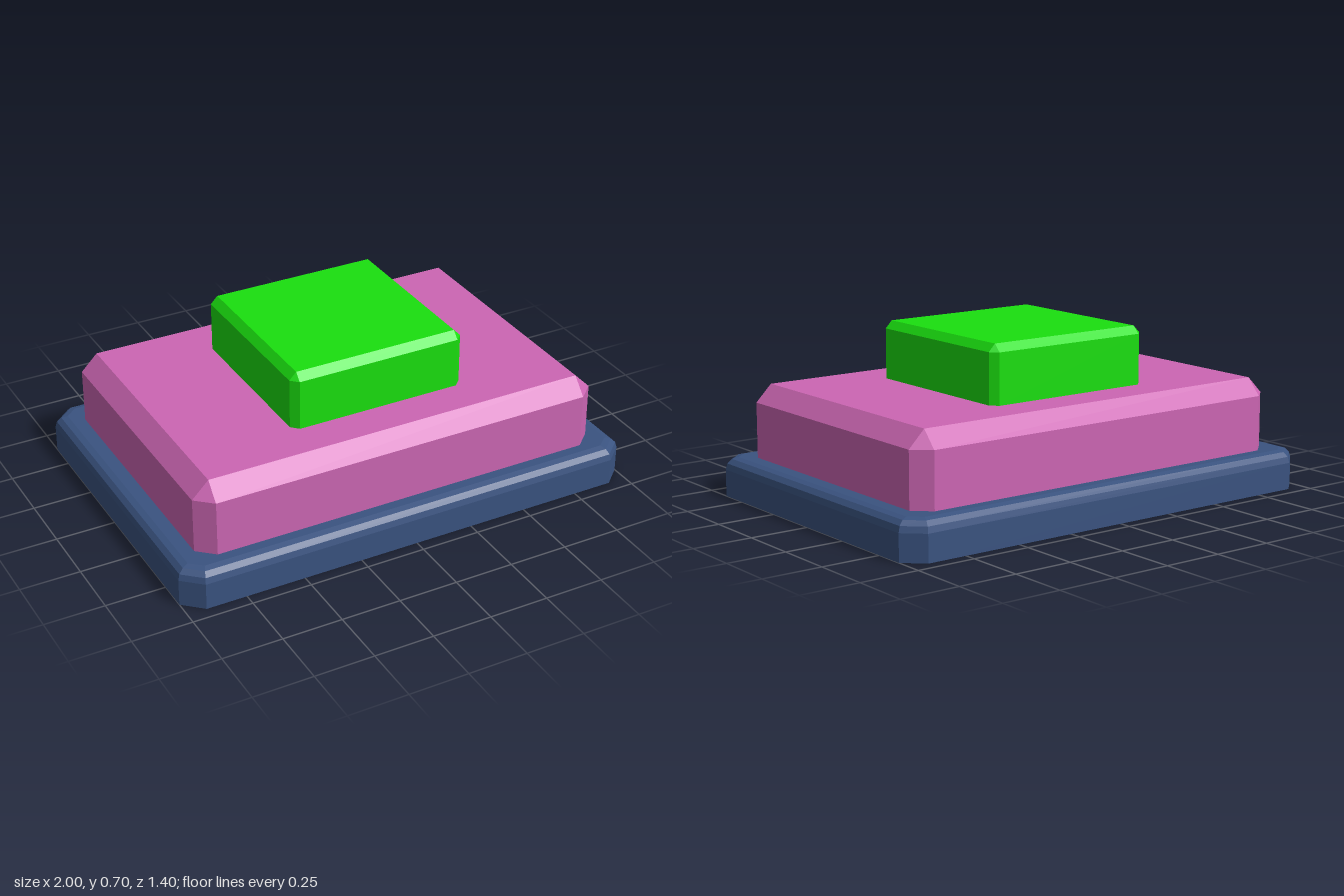
import * as THREE from 'three';

// Rectangle with cut corners: half sizes hx, hz and corner cuts cx, cz, at height y
function ring(y, hx, hz, cx, cz) {
  return [
    [hx, hz - cz], [hx - cx, hz], [-hx + cx, hz], [-hx, hz - cz],
    [-hx, -hz + cz], [-hx + cx, -hz], [hx - cx, -hz], [hx, -hz + cz],
  ].map(([x, z]) => new THREE.Vector3(x, y, z));
}

// Closed faceted solid through a stack of rings, from bottom to top
function loft(name, color, rings) {
  const pos = [];
  const tri = (a, b, c) => {
    if (new THREE.Triangle(a, b, c).getArea() < 1e-8) return;
    for (const p of [a, b, c]) pos.push(p.x, p.y, p.z);
  };
  const last = rings[rings.length - 1];
  const bottom = new THREE.Vector3(0, rings[0][0].y, 0);
  const top = new THREE.Vector3(0, last[0].y, 0);
  for (let k = 0; k < 8; k++) {
    const n = (k + 1) % 8;
    for (let i = 0; i + 1 < rings.length; i++) {
      const lo = rings[i], hi = rings[i + 1];
      tri(lo[k], hi[k], lo[n]);
      tri(lo[n], hi[k], hi[n]);
    }
    tri(bottom, rings[0][k], rings[0][n]);
    tri(top, last[n], last[k]);
  }
  const geo = new THREE.BufferGeometry();
  geo.setAttribute('position', new THREE.Float32BufferAttribute(pos, 3));
  geo.computeVertexNormals();
  const mesh = new THREE.Mesh(geo, new THREE.MeshStandardMaterial({ color, flatShading: true }));
  mesh.name = name;
  return mesh;
}

export function createModel() {
  const group = new THREE.Group();
  group.name = 'steppedPedestal';

  // Base slab with a rounded top edge
  const r = 0.05, steps = 3;
  const baseRings = [ring(0, 1, 0.7, 0.08, 0.073)];
  for (let i = 0; i <= steps; i++) {
    const a = (i / steps) * Math.PI / 2;
    const d = r * (1 - Math.cos(a));
    baseRings.push(ring(0.112 + r * Math.sin(a), 1 - d, 0.7 - d, 0.08 - 0.586 * d, 0.073 - 0.586 * d));
  }
  group.add(loft('baseSlab', 0x3a5380, baseRings));

  // Middle block with chamfered edges
  group.add(loft('middleBlock', 0xcc66b3, [
    ring(0.162, 0.895, 0.608, 0.07, 0.063),
    ring(0.393, 0.895, 0.608, 0.07, 0.063),
    ring(0.463, 0.825, 0.545, 0, 0),
  ]));

  // Top block with small chamfers
  group.add(loft('topBlock', 0x1ae00f, [
    ring(0.463, 0.384, 0.384, 0.03, 0.03),
    ring(0.673, 0.384, 0.384, 0.03, 0.03),
    ring(0.704, 0.354, 0.354, 0, 0),
  ]));

  return group;
}
